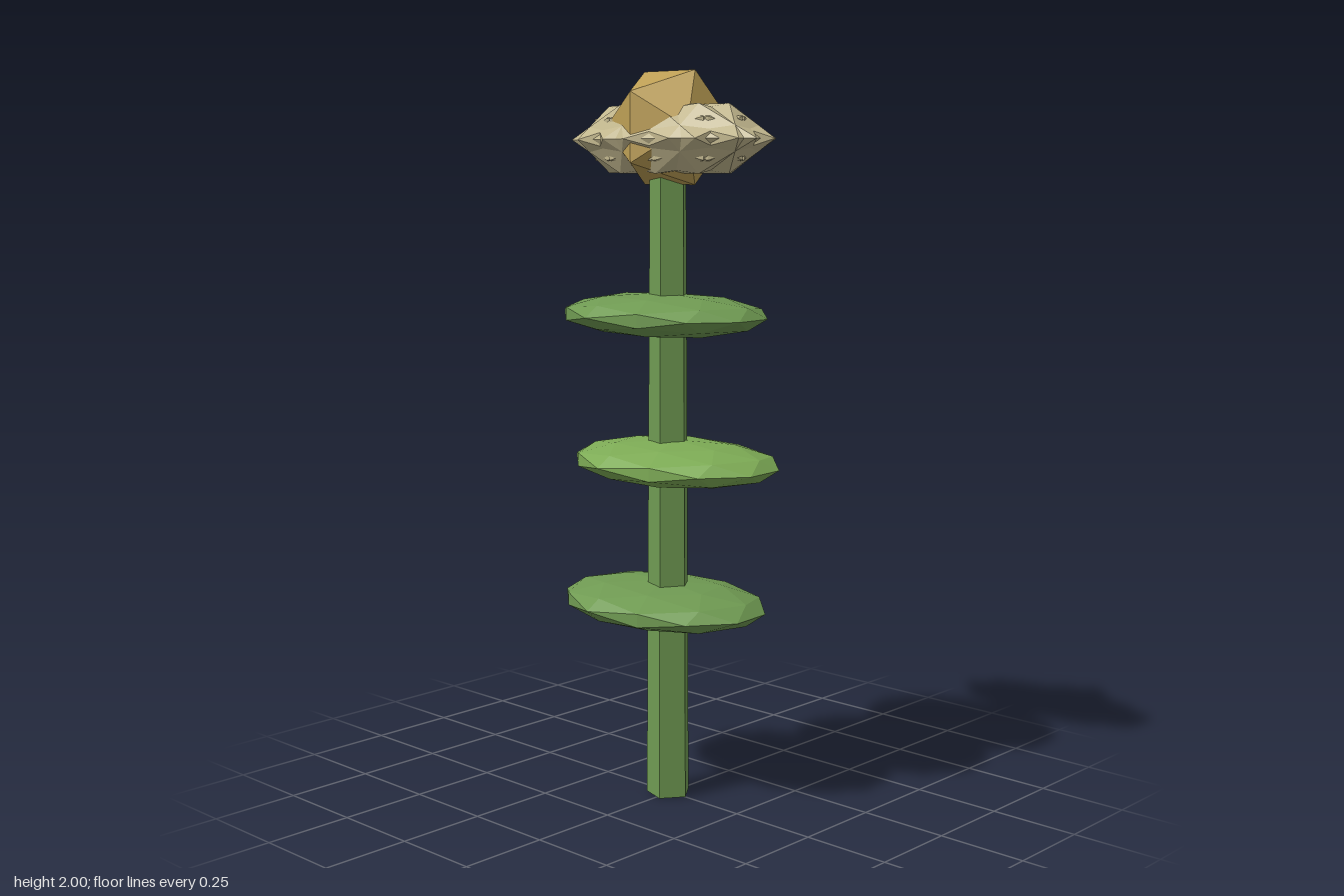
import * as THREE from 'three';

const mat = (color) => new THREE.MeshStandardMaterial({ color, flatShading: true });

export function createModel() {
  const flower = new THREE.Group();
  const add = (name, geometry, material, x, y, z = 0, parent = flower) => {
    const mesh = new THREE.Mesh(geometry, material);
    mesh.name = name;
    mesh.position.set(x, y, z);
    parent.add(mesh);
    return mesh;
  };

  // Five-sided tapering stem, one corner facing +x
  const stemGeo = new THREE.CylinderGeometry(0.052, 0.063, 1.8, 5);
  stemGeo.rotateY(Math.PI / 2);
  add('stem', stemGeo, mat(0x6f9a52), -0.005, 0.9);

  // Flat faceted leaves threaded on the stem, shifted to alternate sides
  const leafGeo = new THREE.IcosahedronGeometry(1, 1);
  leafGeo.rotateY(-0.21);
  leafGeo.scale(0.325, 0.06, 0.235);
  [0.55, 0.95, 1.35].forEach((y, i) => {
    const side = i % 2 ? 1 : -1;
    add('leaf', leafGeo, mat(i % 2 ? 0x7dab55 : 0x6f9a52), side * 0.022 - 0.005, y);
  });

  // Jagged blossom: overlapping turned icosahedra, stretched sideways
  const petals = new THREE.Group();
  petals.name = 'petals';
  petals.position.y = 1.82;
  petals.scale.set(2.13, 1, 1);
  flower.add(petals);
  const petalGeo = new THREE.IcosahedronGeometry(1, 0);
  petalGeo.scale(0.14, 0.106, 0.14);
  const petalMat = mat(0xc2b78e);
  const count = 9;
  for (let i = 0; i < count; i++) {
    const a = (i / count) * Math.PI * 2;
    const petal = add('petal', petalGeo, petalMat, Math.cos(a) * 0.025, 0, Math.sin(a) * 0.025, petals);
    petal.rotation.y = -a;
  }

  // Faceted flower centre
  add('flowerCentre', new THREE.IcosahedronGeometry(0.176, 0), mat(0xbd9f55), -0.003, 1.85);

  return flower;
}
